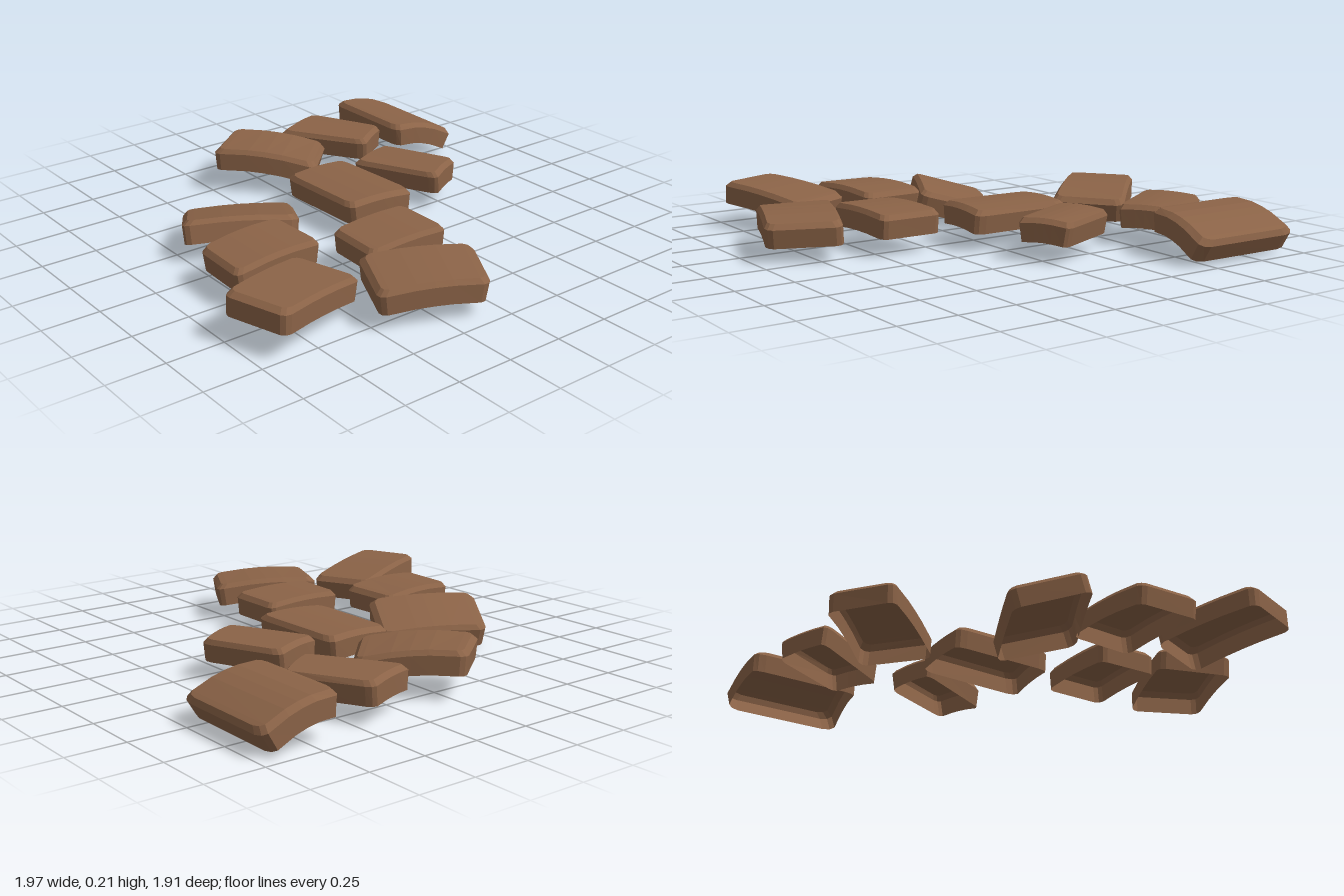
import * as THREE from 'three';

const THICKNESS = 0.1;

// Half outline of a slab with chamfered corners: [u, half width in v]
const COLUMNS = [
  [-1, 0.8], [-0.96, 0.93], [-0.87, 1], [-0.35, 1], [0, 1],
  [0.35, 1], [0.87, 1], [0.96, 0.93], [1, 0.8],
];
const OUTLINE = [
  ...COLUMNS.map(([u, w]) => [u, -w]),
  ...COLUMNS.slice().reverse().map(([u, w]) => [u, w]),
];

// Each stone: four top corners [x, height, z] clockwise from above, and its bow
const STONES = [
  { bow: 0.02, c: [[-0.01, 0.21, -0.92], [0.30, 0.16, -0.60], [0.08, 0.17, -0.38], [-0.24, 0.21, -0.74]] },
  { bow: 0.008, c: [[0.20, 0.18, -0.82], [0.46, 0.18, -0.92], [0.63, 0.175, -0.59], [0.43, 0.18, -0.46]] },
  { bow: 0.03, c: [[0.64, 0.20, -0.95], [0.985, 0.11, -0.95], [0.98, 0.11, -0.44], [0.64, 0.20, -0.47]] },
  { bow: 0.012, c: [[-0.60, 0.11, -0.43], [-0.17, 0.10, -0.23], [-0.33, 0.18, 0.05], [-0.76, 0.19, -0.17]] },
  { bow: 0.01, c: [[-0.10, 0.175, -0.35], [0.21, 0.175, -0.35], [0.23, 0.18, 0.13], [-0.09, 0.18, 0.10]] },
  { bow: 0.01, c: [[0.24, 0.18, -0.29], [0.48, 0.175, -0.37], [0.63, 0.175, -0.04], [0.42, 0.18, 0.07]] },
  { bow: 0.015, c: [[-0.82, 0.18, 0.06], [-0.41, 0.18, 0.01], [-0.40, 0.18, 0.30], [-0.83, 0.18, 0.34]] },
  { bow: 0.01, c: [[-0.30, 0.18, 0.25], [0.09, 0.18, 0.23], [0.09, 0.18, 0.51], [-0.31, 0.18, 0.52]] },
  { bow: 0.01, c: [[-0.99, 0.22, 0.50], [-0.55, 0.17, 0.34], [-0.45, 0.16, 0.62], [-0.90, 0.215, 0.77]] },
  { bow: 0.015, c: [[-0.37, 0.185, 0.51], [0.07, 0.175, 0.69], [-0.08, 0.165, 0.96], [-0.50, 0.17, 0.80]] },
];

function slabGeometry({ c, bow }) {
  const corners = c.map((p) => new THREE.Vector3(...p));

  // Bowed top surface across the four corners, u and v from -1 to 1
  const surface = (u, v) => {
    const near = corners[0].clone().lerp(corners[1], (u + 1) / 2);
    const far = corners[3].clone().lerp(corners[2], (u + 1) / 2);
    const p = near.lerp(far, (v + 1) / 2);
    p.y += bow * (1 - u * u);
    return p;
  };
  const normal = (u, v) => {
    const e = 0.01;
    const du = surface(u + e, v).sub(surface(u - e, v));
    const dv = surface(u, v + e).sub(surface(u, v - e));
    return dv.cross(du).normalize();
  };

  // Rings: top face edge, bevel edge, open bottom rim
  const rings = [[0.93, 0], [1.03, 0.02], [1.03, THICKNESS]];
  const positions = [];
  for (const [scale, depth] of rings) {
    for (const [a, b] of OUTLINE) {
      const u = a * scale, v = b * scale;
      const p = surface(u, v).addScaledVector(normal(u, v), -depth);
      positions.push(p.x, p.y, p.z);
    }
  }

  const n = OUTLINE.length;
  const index = [];
  // Top face in strips across the slab
  for (let j = 0; j < COLUMNS.length - 1; j++) {
    const a = j, b = n - 1 - j;
    index.push(a, b, a + 1, b, b - 1, a + 1);
  }
  // Bevel and side walls
  for (let r = 0; r < rings.length - 1; r++) {
    for (let i = 0; i < n; i++) {
      const k = (i + 1) % n;
      const t0 = r * n + i, t1 = r * n + k;
      index.push(t0, t1, t0 + n, t1, t1 + n, t0 + n);
    }
  }

  const geometry = new THREE.BufferGeometry();
  geometry.setAttribute('position', new THREE.Float32BufferAttribute(positions, 3));
  geometry.setIndex(index);
  geometry.computeVertexNormals();
  return geometry;
}

export function createModel() {
  const group = new THREE.Group();
  group.name = 'steppingStones';
  const material = new THREE.MeshStandardMaterial({
    color: 0x8b6347, flatShading: true, side: THREE.DoubleSide,
  });
  STONES.forEach((stone, i) => {
    const mesh = new THREE.Mesh(slabGeometry(stone), material);
    mesh.name = `stone${i + 1}`;
    group.add(mesh);
  });
  return group;
}
